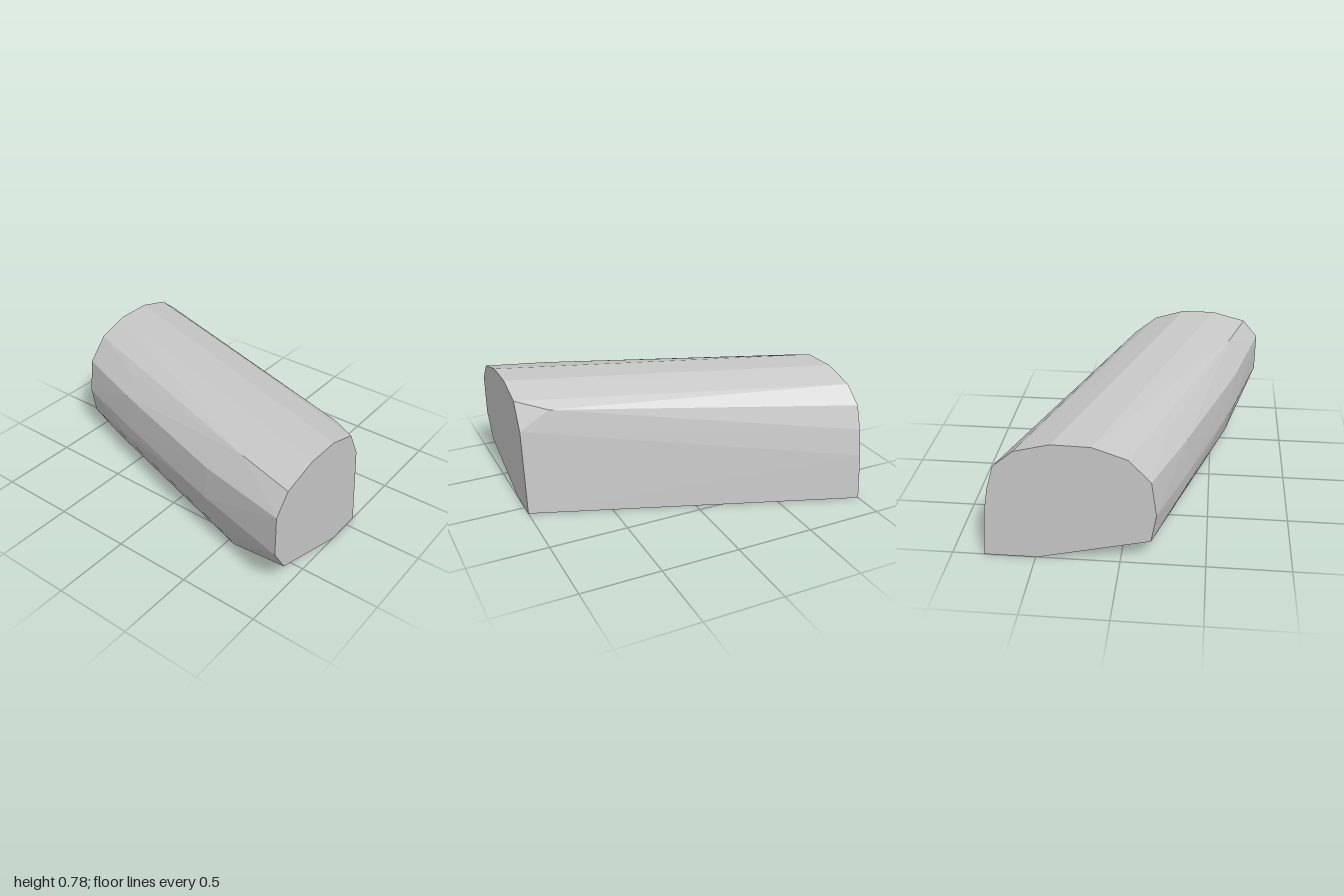
import * as THREE from 'three';
import { ConvexGeometry } from 'three/addons/geometries/ConvexGeometry.js';

export function createModel() {
  const grey = new THREE.MeshStandardMaterial({ color: 0xc8c8c8 });
  grey.name = 'light grey';

  // End outlines as [z, y]
  const leftEnd = [
    [-0.08, 0], [-0.03, 0.55], [0.06, 0.72], [0.26, 0.78], [0.48, 0.78],
    [0.71, 0.72], [0.81, 0.6], [0.81, 0.34], [0.71, 0.18], [0.16, 0],
  ];
  const rightEnd = [
    [-0.81, 0], [-0.785, 0.3], [-0.755, 0.47], [-0.71, 0.62], [-0.59, 0.72],
    [-0.38, 0.775], [-0.15, 0.77], [0.05, 0.7], [0.18, 0.56], [0.21, 0.34],
    [0.18, 0.16], [-0.49, 0],
  ];

  // Corners between the ends as [x, y, z]
  const between = [
    [-0.78, 0.015, 0.17], [0.56, 0.015, 0.59],                    // bottom front edge
    [-0.45, 0.18, 0.36], [0.25, 0.18, 0.555], [0.42, 0.11, 0.6],  // lower front bevel
    [-0.55, 0.23, 0.35], [-0.5, 0.34, 0.38], [0.2, 0.34, 0.6], [0.4, 0.34, 0.66],
    [-0.5, 0.56, 0.36], [0.4, 0.56, 0.65],                       // bulging front
    [-0.55, 0.66, 0.25], [0.62, 0.72, 0.6],                      // upper front bevel
    [0.82, 0.68, -0.07],                                         // clipped back corner
  ];

  const points = [
    ...leftEnd.map(([z, y]) => new THREE.Vector3(1, y, z)),
    ...rightEnd.map(([z, y]) => new THREE.Vector3(-1, y, z)),
    ...between.map((p) => new THREE.Vector3(...p)),
  ];

  // One faceted slanted block wrapped around all corners
  const block = new THREE.Mesh(new ConvexGeometry(points), grey);
  block.name = 'slantedBlock';

  const group = new THREE.Group();
  group.name = 'facetedBlock';
  group.add(block);
  return group;
}
